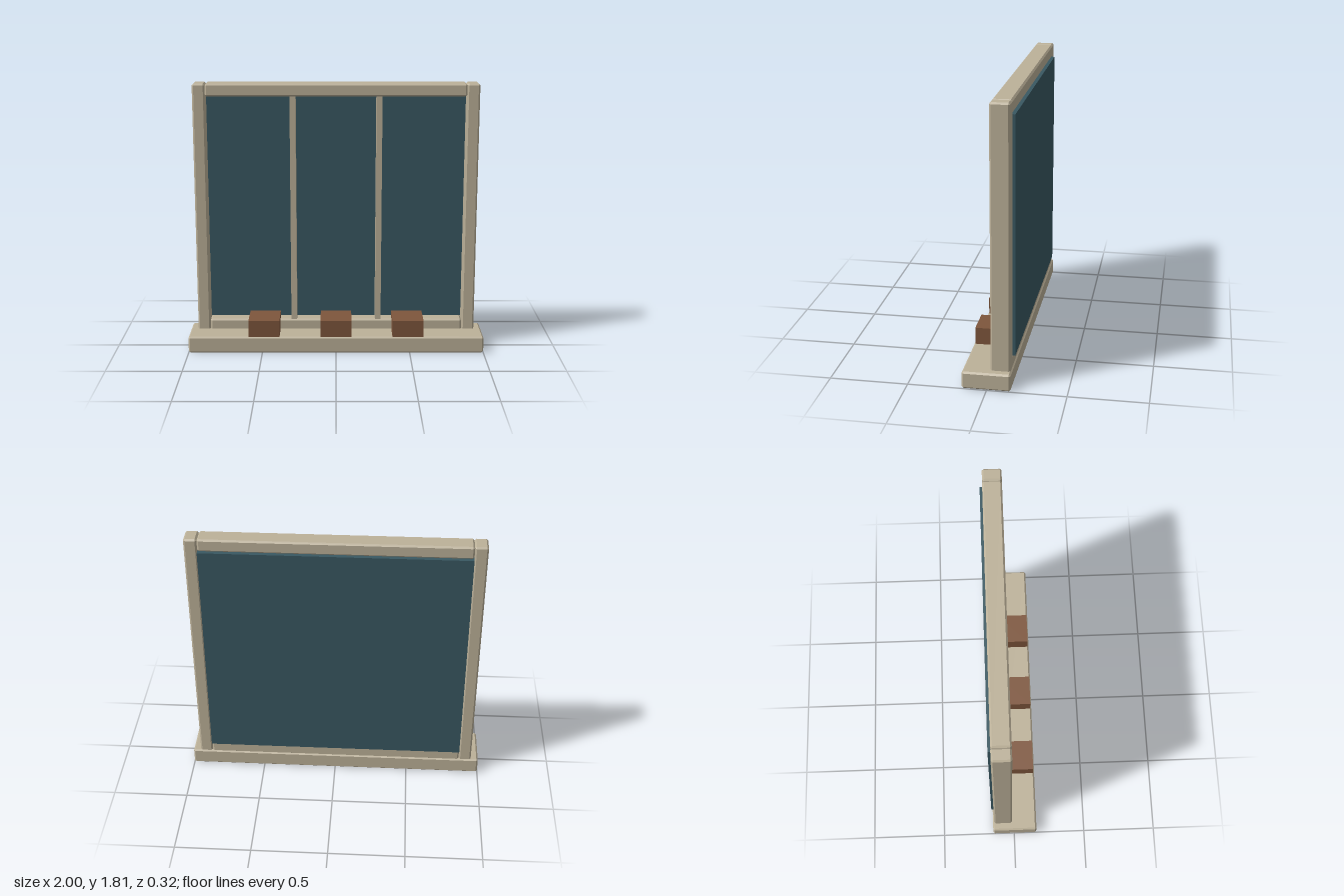
import * as THREE from 'three';
import { ConvexGeometry } from 'three/addons/geometries/ConvexGeometry.js';

const material = (name, color) => {
  const m = new THREE.MeshStandardMaterial({ color });
  m.name = name;
  return m;
};

// Box with flat chamfers on every edge
function chamferBox(w, h, d, c) {
  const points = [];
  for (const x of [-w / 2, w / 2]) for (const y of [-h / 2, h / 2]) for (const z of [-d / 2, d / 2]) {
    const sx = Math.sign(x) * c, sy = Math.sign(y) * c, sz = Math.sign(z) * c;
    points.push(
      new THREE.Vector3(x, y - sy, z - sz),
      new THREE.Vector3(x - sx, y, z - sz),
      new THREE.Vector3(x - sx, y - sy, z));
  }
  return new ConvexGeometry(points);
}

export function createModel() {
  const model = new THREE.Group();
  model.name = 'window';
  const paint = material('beigePaint', 0xbcb199);
  const glass = material('blueGlass', 0x395862);
  const clay = material('brownClay', 0x7e563c);

  // Add a box given by its lower and upper limits on each axis
  const block = (name, mat, [x0, x1], [y0, y1], [z0, z1], chamfer = 0) => {
    const size = [x1 - x0, y1 - y0, z1 - z0];
    const geometry = chamfer ? chamferBox(...size, chamfer) : new THREE.BoxGeometry(...size);
    const mesh = new THREE.Mesh(geometry, mat);
    mesh.name = name;
    mesh.position.set((x0 + x1) / 2, (y0 + y1) / 2, (z0 + z1) / 2);
    model.add(mesh);
  };

  const frameZ = [-0.141, -0.016];

  // Sill and horizontal rails
  block('sill', paint, [-1, 1], [0, 0.113], [-0.149, 0.158], 0.011);
  block('bottomRail', paint, [-0.865, 0.865], [0.1, 0.183], frameZ, 0.011);
  block('topRail', paint, [-0.865, 0.865], [1.722, 1.807], frameZ, 0.011);

  // Side posts and inner mullions
  for (const [side, s] of [['left', 1], ['right', -1]]) {
    const span = (a, b) => (s > 0 ? [a, b] : [-b, -a]);
    block(side + 'Post', paint, span(0.865, 0.95), [0.1, 1.807], frameZ, 0.011);
    block(side + 'Mullion', paint, span(0.268, 0.307), [0.183, 1.722], [-0.11, -0.016]);
  }

  // Glass filling the frame and standing proud at the back
  block('glassPane', glass, [-0.865, 0.865], [0.183, 1.722], [-0.158, -0.102]);

  // Planters on the sill, reaching back over the bottom rail
  [-0.487, 0, 0.487].forEach((x, i) =>
    block('planter' + (i + 1), clay, [x - 0.105, x + 0.105], [0.11, 0.226], [-0.07, 0.149]));

  return model;
}
